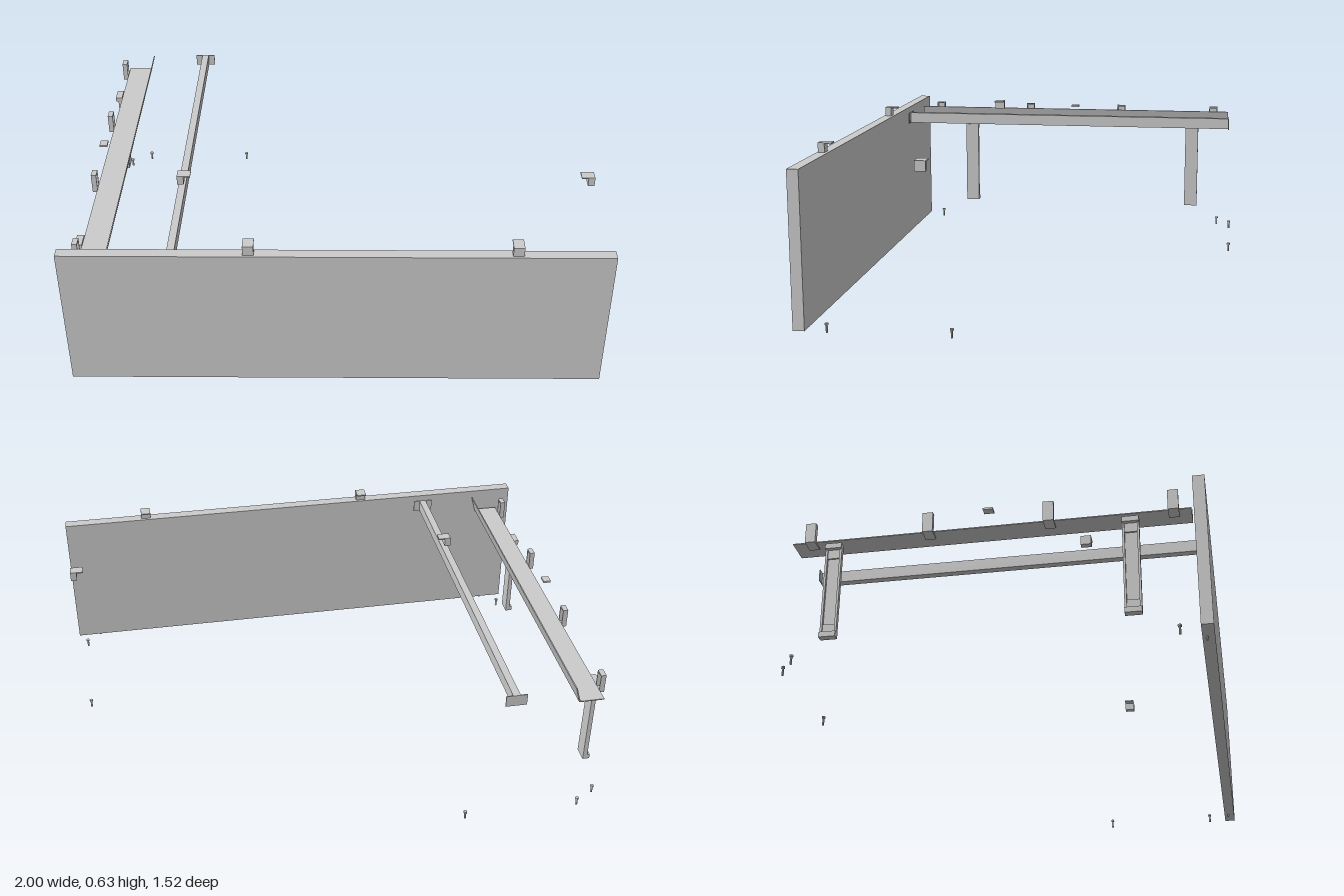
import * as THREE from 'three';

const material = new THREE.MeshStandardMaterial({ color: 0xcccccc, flatShading: true, side: THREE.DoubleSide });

// Box given by its min and max along each axis
function box(name, [x0, x1], [y0, y1], [z0, z1]) {
  const mesh = new THREE.Mesh(new THREE.BoxGeometry(x1 - x0, y1 - y0, z1 - z0), material);
  mesh.position.set((x0 + x1) / 2, (y0 + y1) / 2, (z0 + z1) / 2);
  mesh.name = name;
  return mesh;
}

function group(name, ...parts) {
  const g = new THREE.Group();
  g.name = name;
  g.add(...parts);
  return g;
}

// Bent sheet tray: flat base with one upright, outward-leaning lip
function cableTray() {
  const t = 0.004;
  const shape = new THREE.Shape([
    [-0.94, 0.5], [-0.843, 0.5], [-0.825, 0.565], [-0.825 - t, 0.566],
    [-0.843 - t, 0.5 + t], [-0.94, 0.5 + t],
  ].map(([x, y]) => new THREE.Vector2(x, y)));
  const geometry = new THREE.ExtrudeGeometry(shape, { depth: 1.447, bevelEnabled: false });
  geometry.translate(0, 0, -0.737);
  const mesh = new THREE.Mesh(geometry, material);
  mesh.name = 'cableTray';
  return mesh;
}

// Hooked bracket holding the outer edge of the tray
function trayBracket(z) {
  const depth = [z - 0.019, z + 0.019];
  return group('trayBracket',
    box('bracketPlate', [-0.958, -0.952], [0.495, 0.572], depth),
    box('bracketFoot', [-0.958, -0.9], [0.494, 0.5], depth),
    box('bracketTop', [-0.958, -0.938], [0.566, 0.572], depth),
    ...[-1, 1].map((s) => box('bracketCheek', [-0.958, -0.938], [0.495, 0.572],
      [z + s * 0.017 - 0.002, z + s * 0.017 + 0.002])));
}

// Upright cable channel with a block at each end
function cableChannel(z) {
  const depth = [z - 0.03, z + 0.03];
  return group('cableChannel',
    box('channelBack', [-0.961, -0.955], [0.1, 0.455], depth),
    ...[-1, 1].map((s) => box('channelSide', [-0.972, -0.955], [0.1, 0.455],
      [z + s * 0.026 - 0.004, z + s * 0.026 + 0.004])),
    box('channelLowerBlock', [-0.982, -0.955], [0.09, 0.11], depth),
    box('channelUpperBlock', [-0.982, -0.955], [0.445, 0.465], depth),
    box('lowerEndPlate', [-0.967, -0.955], [0.11, 0.145], depth),
    box('upperEndPlate', [-0.967, -0.955], [0.41, 0.445], depth));
}

// Edge clip: block with a thin plate reaching out along its local +x
function edgeClip(x, z, turn) {
  const clip = group('edgeClip',
    box('clipBlock', [0, 0.025], [0.594, 0.63], [-0.02, 0.02]),
    box('clipPlate', [0, 0.051], [0.626, 0.631], [-0.02, 0.02]));
  clip.position.set(x, 0, z);
  clip.rotation.y = turn;
  return clip;
}

// Small headed pin standing on the floor
function floorPin(x, z) {
  const profile = [[0, 0], [0.004, 0], [0.004, 0.028], [0.007, 0.028], [0.007, 0.035], [0, 0.035]]
    .map(([r, y]) => new THREE.Vector2(r, y));
  const pin = new THREE.Mesh(new THREE.LatheGeometry(profile, 10), material);
  pin.position.set(x, 0, z);
  pin.name = 'floorPin';
  return pin;
}

export function createModel() {
  const model = new THREE.Group();
  model.name = 'deskFittings';

  // Large front panel
  model.add(box('frontPanel', [-1, 1], [0.013, 0.593], [0.72, 0.763]));

  // Cross rail with an end plate at both ends
  model.add(group('crossRail',
    box('railBeam', [-0.611, -0.583], [0.522, 0.568], [-0.74, 0.715]),
    ...[-0.74, 0.715].map((z) =>
      box('railEndPlate', [-0.638, -0.557], [0.522, 0.568], [z - 0.002, z + 0.002]))));

  // Tray, its brackets and the small plate between them
  model.add(cableTray());
  for (const z of [-0.667, -0.23, 0.208, 0.648]) model.add(trayBracket(z));
  model.add(box('trayPlate', [-0.958, -0.928], [0.562, 0.57], [-0.028, 0.008]));

  // Upright channels
  for (const z of [0.499, -0.568]) model.add(cableChannel(z));

  // Clips on the panel and at desk-top height
  model.add(
    edgeClip(-0.312, 0.755, Math.PI / 2), edgeClip(0.65, 0.755, Math.PI / 2),
    edgeClip(-0.61, 0.296, 0), edgeClip(0.985, 0.296, Math.PI));

  // Pins at the floor
  for (const [x, z] of [
    [-0.885, -0.754], [-0.435, -0.754], [-0.967, -0.695], [-0.967, 0.65],
    [0.963, 0.198], [0.963, 0.65], [-0.908, 0.736], [0.905, 0.736],
  ]) model.add(floorPin(x, z));

  return model;
}
